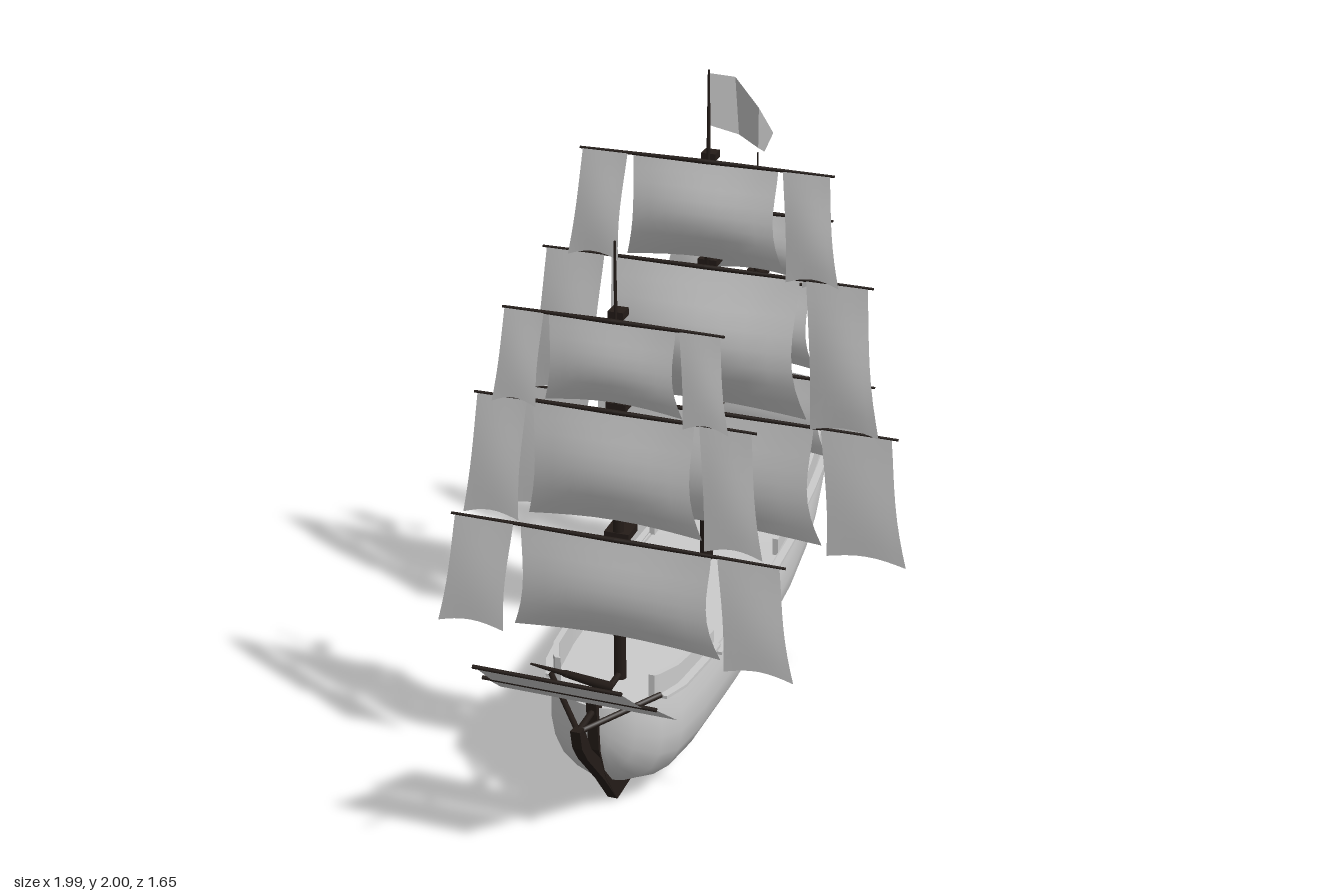
import * as THREE from 'three';
import { toCreasedNormals } from 'three/addons/utils/BufferGeometryUtils.js';

const GREY = new THREE.MeshStandardMaterial({ color: 0xcccccc, side: THREE.DoubleSide });
const DARK = new THREE.MeshStandardMaterial({ color: 0x241c18, side: THREE.DoubleSide });

// Ship frame: x runs from bow (-) to stern (+), y up, z to port.
// Stations: x, half breadth, bottom height, top height
const STATIONS = [
  [-0.74, 0, 0.32, 0.4], [-0.73, 0.05, 0.24, 0.4], [-0.7, 0.11, 0.16, 0.4], [-0.64, 0.17, 0.09, 0.4],
  [-0.56, 0.203, 0.05, 0.397], [-0.4, 0.222, 0.035, 0.393], [-0.1, 0.233, 0.03, 0.387], [0.2, 0.233, 0.03, 0.385],
  [0.5, 0.224, 0.033, 0.393], [0.75, 0.204, 0.05, 0.41], [0.92, 0.185, 0.09, 0.425], [1.05, 0.165, 0.16, 0.44],
  [1.13, 0.142, 0.24, 0.45], [1.18, 0.108, 0.31, 0.455], [1.21, 0.06, 0.345, 0.46], [1.22, 0, 0.36, 0.46],
];
// Section: height fraction, breadth fraction
const SECTION = [[0, 0.05], [0.03, 0.3], [0.1, 0.57], [0.22, 0.81], [0.4, 0.96], [0.6, 1.02], [0.8, 1.01], [1, 0.96]];

function station(x, k) {
  const i = Math.max(1, STATIONS.findIndex((s) => s[0] >= x));
  const [a, b] = [STATIONS[i - 1], STATIONS[i]];
  return THREE.MathUtils.lerp(a[k], b[k], (x - a[0]) / (b[0] - a[0]));
}
const railZ = (x) => station(x, 1) * 0.96;

function add(parent, name, geometry, material = GREY) {
  const mesh = new THREE.Mesh(geometry, material);
  mesh.name = name;
  parent.add(mesh);
  return mesh;
}

// Surface through equal-length rows of [x, y, z] points
function loft(rows) {
  const n = rows[0].length;
  const index = [];
  for (let i = 0; i < rows.length - 1; i++) {
    for (let j = 0; j < n - 1; j++) {
      const a = i * n + j, b = a + n;
      index.push(a, b, a + 1, b, b + 1, a + 1);
    }
  }
  const g = new THREE.BufferGeometry();
  g.setAttribute('position', new THREE.Float32BufferAttribute(rows.flat(2), 3));
  g.setIndex(index);
  g.computeVertexNormals();
  return g;
}

// Round spar between two points
function spar(parent, name, a, b, r0, r1 = r0) {
  const from = new THREE.Vector3(...a), dir = new THREE.Vector3(...b).sub(from);
  const mesh = add(parent, name, new THREE.CylinderGeometry(r1, r0, dir.length(), 8), DARK);
  mesh.position.copy(from).addScaledVector(dir, 0.5);
  mesh.quaternion.setFromUnitVectors(new THREE.Vector3(0, 1, 0), dir.normalize());
}

// Solid strip following the rail line; low and high give its heights at x
function railStrip(parent, name, x0, x1, side, low, high, out, thick) {
  const rows = [];
  for (let i = 0; i <= 24; i++) {
    const x = THREE.MathUtils.lerp(x0, x1, i / 24);
    const z = railZ(x) + out, inner = Math.max(0, z - thick);
    const ring = [[x, low(x), z], [x, high(x), z], [x, high(x), inner], [x, low(x), inner], [x, low(x), z]];
    rows.push(ring.map((p) => [p[0], p[1], p[2] * side]));
  }
  // end caps
  for (const end of [0, rows.length + 1]) {
    const r = end ? rows[rows.length - 1] : rows[0];
    const c = [0, 1, 2].map((k) => (r[0][k] + r[2][k]) / 2);
    rows.splice(end, 0, r.map(() => c));
  }
  add(parent, name, toCreasedNormals(loft(rows), 0.6));
}

function plate(parent, name, points, depth) {
  const shape = new THREE.Shape(points.map((p) => new THREE.Vector2(...p)));
  const g = new THREE.ExtrudeGeometry(shape, { depth, bevelEnabled: false });
  add(parent, name, g.translate(0, 0, -depth / 2), DARK);
}

// Cloth panel hung from a yard, spanning z0..z1 at the top and b0..b1 at the foot
function sail(parent, name, x, yTop, yFoot, z0, z1, b0, b1, bulge, swing) {
  const rows = [];
  for (let i = 0; i <= 8; i++) {
    const v = i / 8, belly = Math.sin(Math.PI * Math.pow(v, 1.2));
    const row = [];
    for (let j = 0; j <= 8; j++) {
      const u = j / 8, arch = Math.sin(Math.PI * u);
      const l = THREE.MathUtils.lerp(z0, b0, v), r = THREE.MathUtils.lerp(z1, b1, v);
      const z = THREE.MathUtils.lerp(l, r, 0.5 + (u - 0.5) * (1 - 0.08 * belly));
      const y = THREE.MathUtils.lerp(yTop, yFoot + 0.02 * arch, v);
      row.push([x - bulge * belly * (0.55 + 0.45 * arch) - swing * v, y, z]);
    }
    rows.push(row);
  }
  add(parent, name, loft(rows));
}

function buildHull(ship) {
  const half = SECTION.slice(1);
  const rows = STATIONS.map(([x, b, lo, hi]) => {
    const pt = (side) => ([h, w]) => [x, lo + (hi - lo) * h, side * b * w];
    return [...[...half].reverse().map(pt(-1)), [x, lo, 0], ...half.map(pt(1))];
  });
  add(ship, 'hull', loft(rows));
  add(ship, 'deck', loft(STATIONS.map(([x, b, , top]) => [1, 0.5, 0, -0.5, -1].map((k) => [x, top - 0.02, k * b * 0.96]))));

  const top = (x) => station(x, 3) - 0.01;
  for (const side of [-1, 1]) {
    railStrip(ship, 'forecastleBulwark', -0.65, -0.3, side, top, (x) => 0.455 - (x + 0.3) * 0.09, 0, 0.018);
    railStrip(ship, 'quarterdeckBulwark', 0.335, 1.219, side, top, (x) => 0.437 + (x - 0.335) * 0.105, 0, 0.018);
    railStrip(ship, 'taffrail', 1.15, 1.22, side, top, () => 0.61, 0.003, 0.024);
    // channels along the side
    [[-0.64, -0.31, 0.413], [-0.3, 0.54, 0.377], [0.55, 1.05, 0.413]].forEach(([a, b, y]) =>
      railStrip(ship, 'channel', a, b, side, () => y - 0.005, () => y + 0.005, 0.025, 0.03));
    spar(ship, 'headRail', [-0.86, 0.39, 0], [-0.64, 0.42, side * 0.17], 0.009);
  }
  // keel, sternpost and inner stem in one plate, beakhead knee in another
  plate(ship, 'keel', [[-0.6, 0], [1.1, 0], [1.12, 0.21], [1.12, 0.27], [1.02, 0.17], [0.85, 0.09], [0.6, 0.045], [-0.45, 0.045],
    [-0.6, 0.1], [-0.69, 0.22], [-0.72, 0.43], [-0.76, 0.43], [-0.745, 0.26], [-0.69, 0.13]], 0.032);
  plate(ship, 'beakheadKnee', [[-0.6, 0], [-0.56, 0.02], [-0.66, 0.15], [-0.8, 0.3], [-0.85, 0.4], [-0.885, 0.405],
    [-0.87, 0.34], [-0.83, 0.28], [-0.7, 0.13]], 0.03);
  spar(ship, 'beakheadBeam', [-0.88, 0.392, 0], [-0.5, 0.392, 0], 0.01);
}

// tiers: yard height, foot of sail, half length of yard, belly
function buildMast(ship, name, x, height, radius, tiers) {
  const mast = new THREE.Group();
  mast.name = name;
  ship.add(mast);
  const [y1, y2] = tiers.map((t) => t[0]);
  spar(mast, 'lowerMast', [x, 0.3, 0], [x, y1 + 0.06, 0], radius, radius * 0.85);
  spar(mast, 'topmast', [x, y1, 0], [x, y2 + 0.05, 0], radius * 0.7, radius * 0.5);
  spar(mast, 'topgallantMast', [x, y2, 0], [x, height, 0], radius * 0.45, radius * 0.15);
  tiers.forEach(([y, foot, half, belly], i) => {
    const yx = x - 0.03;
    const size = 0.075 - i * 0.015;
    add(mast, 'mastTop', new THREE.BoxGeometry(size, 0.022, size), DARK).position.set(x + 0.02, y + 0.005, 0);
    spar(mast, 'yard', [yx, y, -half], [yx, y, 0], 0.004, 0.008);
    spar(mast, 'yard', [yx, y, 0], [yx, y, half], 0.008, 0.004);
    const c = half * 0.57;
    sail(mast, 'squareSail', yx, y, foot, -c, c, -c * 1.1, c * 1.1, belly, 0);
    for (const k of [-1, 1]) {
      sail(mast, 'studdingSail', yx - 0.008, y, foot - 0.012, k * half * 0.61, k * half * 0.97,
        k * half * 0.67, k * half * 1.08, belly * 0.25, 0.03);
    }
  });
}

export function createModel() {
  const model = new THREE.Group();
  model.name = 'sailingShip';
  const ship = new THREE.Group();
  ship.name = 'ship';
  ship.rotation.y = THREE.MathUtils.degToRad(38);
  ship.position.set(-0.008, 0, -0.01);
  model.add(ship);

  buildHull(ship);
  buildMast(ship, 'foremast', -0.522, 1.755, 0.02,
    [[0.85, 0.515, 0.51, 0.035], [1.255, 0.895, 0.42, 0.04], [1.53, 1.265, 0.325, 0.03]]);
  buildMast(ship, 'mainmast', 0.269, 2, 0.023,
    [[0.902, 0.495, 0.625, 0.04], [1.387, 0.925, 0.53, 0.085], [1.725, 1.4, 0.4, 0.05]]);
  buildMast(ship, 'mizzenmast', 0.761, 1.58, 0.016,
    [[0.83, 0.555, 0.42, 0.03], [1.16, 0.865, 0.34, 0.05], [1.39, 1.175, 0.263, 0.03]]);

  // bowsprit with two spritsails
  spar(ship, 'bowsprit', [-0.62, 0.4, 0], [-0.95, 0.637, 0], 0.016, 0.01);
  spar(ship, 'jibBoom', [-0.94, 0.63, 0], [-1.18, 0.8, 0], 0.008, 0.003);
  for (const [x0, y0, x1, y1, w0, w1] of [[-1.08, 0.69, -0.945, 0.568, 0.212, 0.225], [-0.925, 0.557, -0.782, 0.44, 0.255, 0.27]]) {
    spar(ship, 'spritsailYard', [x0, y0, -w0 - 0.005], [x0, y0, w0 + 0.005], 0.006);
    add(ship, 'spritsail', loft([[[x0, y0, -w0], [x0, y0, w0]], [[x1, y1, -w1], [x1, y1, w1]]]));
  }

  // flag at the main masthead
  add(ship, 'flag', toCreasedNormals(loft([
    [[0.269, 1.99, 0], [0.269, 1.83, 0]],
    [[0.29, 1.98, 0.075], [0.3, 1.8, 0.085]],
    [[0.27, 1.9, 0.155], [0.285, 1.77, 0.15]],
    [[0.305, 1.815, 0.19], [0.3, 1.755, 0.165]],
  ]), 0.3));
  return model;
}
